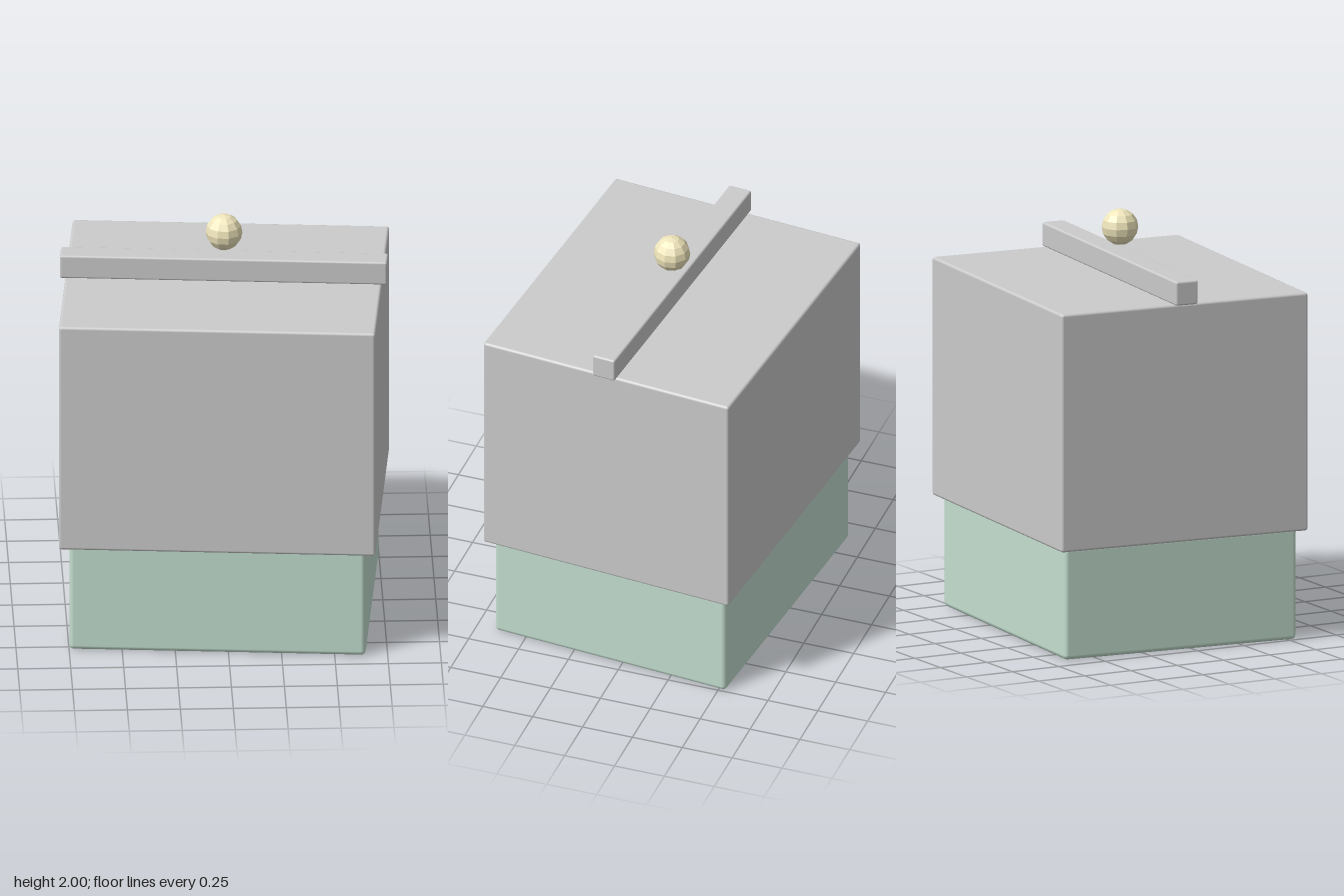
import * as THREE from 'three';
import { RoundedBoxGeometry } from 'three/addons/geometries/RoundedBoxGeometry.js';

const grey = new THREE.MeshStandardMaterial({ color: 0xcccccc });
const green = new THREE.MeshStandardMaterial({ color: 0xc4dfd0 });
const cream = new THREE.MeshStandardMaterial({ color: 0xf0e6bc, flatShading: true });

// Box with softened edges, placed by its bottom and top heights
function block(name, width, depth, bottom, top, bevel, material) {
  const geometry = new RoundedBoxGeometry(width, top - bottom, depth, 2, bevel);
  const mesh = new THREE.Mesh(geometry, material);
  mesh.name = name;
  mesh.position.y = (bottom + top) / 2;
  return mesh;
}

export function createModel() {
  const model = new THREE.Group();
  model.name = 'box';

  // Everything is turned slightly about the vertical axis
  const turned = new THREE.Group();
  turned.name = 'turnedBody';
  turned.rotation.y = THREE.MathUtils.degToRad(-5);
  model.add(turned);

  // Narrower base, wide upper box and the bar across its top
  turned.add(block('base', 1.40, 1.20, 0.005, 0.545, 0.022, green));
  turned.add(block('upperBox', 1.496, 1.275, 0.535, 1.682, 0.013, grey));
  turned.add(block('topBar', 1.546, 0.115, 1.68, 1.796, 0.01, grey));

  // Faceted ball floating above the bar
  const ball = new THREE.Mesh(new THREE.SphereGeometry(0.087, 10, 8), cream);
  ball.name = 'ball';
  ball.position.y = 1.913;
  turned.add(ball);

  return model;
}
